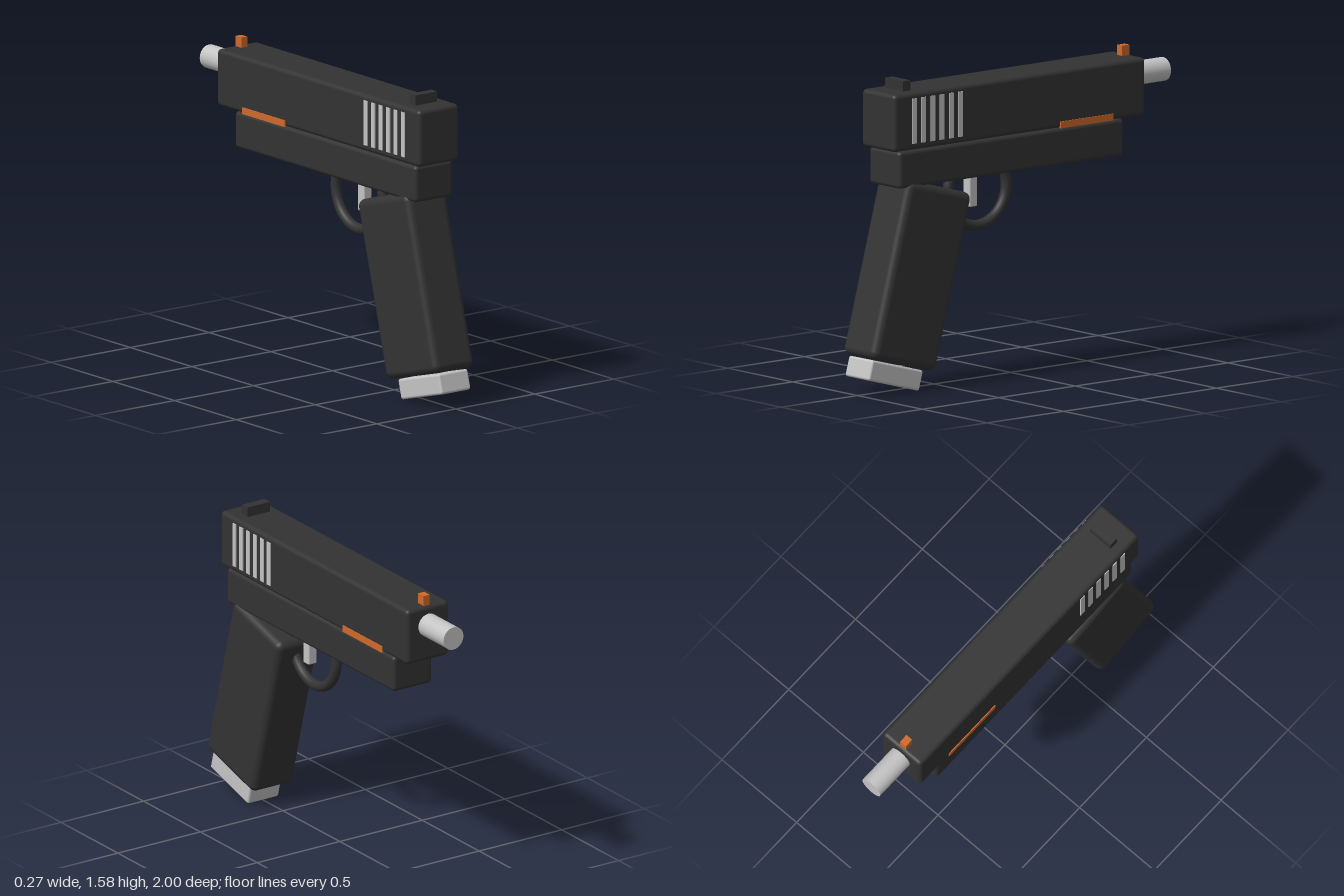
import * as THREE from 'three';
import { RoundedBoxGeometry } from 'three/addons/geometries/RoundedBoxGeometry.js';

export function createModel() {
  const model = new THREE.Group();
  model.name = 'toyPistol';

  const material = (name, color) => {
    const m = new THREE.MeshStandardMaterial({ color });
    m.name = name;
    return m;
  };
  const dark = material('charcoal', 0x333333);
  const silver = material('silver', 0xc4c4c4);
  const orange = material('orange', 0xd0692a);

  const add = (name, geometry, mat, x, y, z, tilt = 0) => {
    const mesh = new THREE.Mesh(geometry, mat);
    mesh.name = name;
    mesh.position.set(x, y, z);
    mesh.rotation.x = tilt;
    model.add(mesh);
    return mesh;
  };
  const rounded = (w, h, d, r) => new RoundedBoxGeometry(w, h, d, 4, r);
  const box = (w, h, d) => new THREE.BoxGeometry(w, h, d);

  // Upper slide and lower frame
  add('slide', rounded(0.256, 0.292, 1.645, 0.022), dark, 0, 1.383, 0.044);
  add('frame', rounded(0.236, 0.188, 1.47, 0.02), dark, 0, 1.14, 0.09);

  // Barrel, pointing to -z
  const barrel = new THREE.CylinderGeometry(0.06, 0.06, 0.4, 32);
  barrel.rotateX(Math.PI / 2);
  add('barrel', barrel, silver, 0, 1.428, -0.8);

  // Raked grip with the magazine base under it
  const rake = -0.268;
  add('grip', rounded(0.256, 0.91, 0.432, 0.038), dark, 0, 0.588, 0.674, rake);
  add('magazineBase', rounded(0.188, 0.104, 0.345, 0.012), silver, 0, 0.099, 0.826, rake);

  // Trigger and its ring guard
  const ring = new THREE.TorusGeometry(0.19, 0.027, 16, 56);
  ring.rotateY(Math.PI / 2);
  add('triggerGuard', ring, dark, 0, 0.968, 0.218);
  add('trigger', rounded(0.052, 0.2, 0.052, 0.008), silver, 0, 0.98, 0.262);

  // Sights
  add('rearSight', box(0.137, 0.07, 0.048), dark, 0, 1.546, 0.737);
  add('frontSight', box(0.038, 0.07, 0.048), orange, 0, 1.546, -0.739);

  // Slide grooves and accent strips on both sides
  for (const side of [1, -1]) {
    for (let i = 0; i < 6; i++) {
      add('slideGroove', box(0.008, 0.23, 0.03), silver, side * 0.128, 1.385, 0.738 - i * 0.0605);
    }
    add('accentStrip', box(0.009, 0.034, 0.345), orange, side * 0.1285, 1.253, -0.39);
  }

  return model;
}
